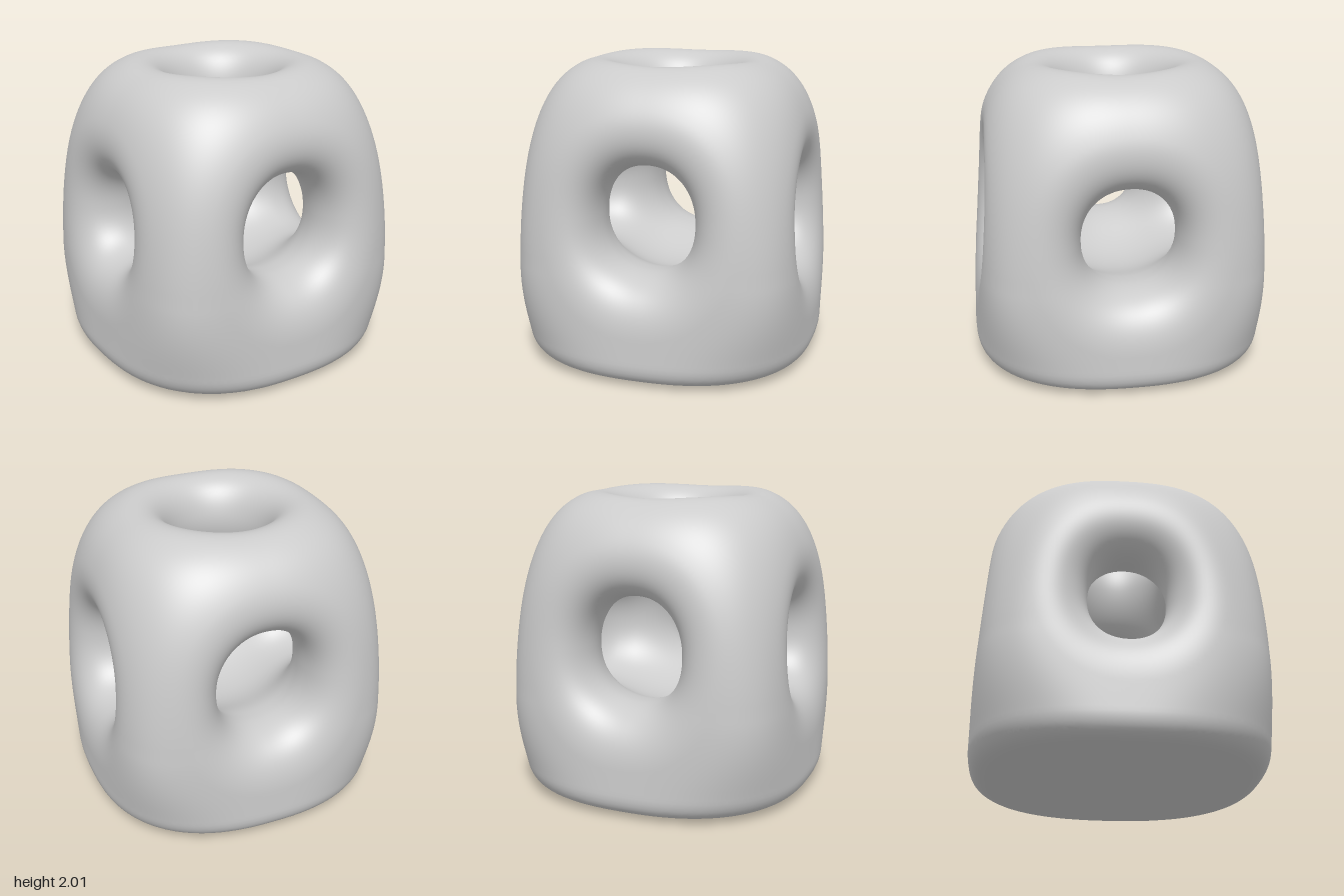
import * as THREE from 'three';

const smoothstep = (a, b, v) => THREE.MathUtils.smoothstep(v, a, b);
const lerp = THREE.MathUtils.lerp;

// Rounded maximum / minimum: blend two solids over a distance k
function smax(a, b, k) {
  const h = Math.max(k - Math.abs(a - b), 0);
  return Math.max(a, b) + (h * h) / (4 * k);
}
const smin = (a, b, k) => -smax(-a, -b, k);

// Superellipse radius: 1 on the outline
const oval = (u, v, n) => Math.pow(Math.pow(Math.abs(u), n) + Math.pow(Math.abs(v), n), 1 / n);

// Tapered cushion block: plan squarest at mid-height, domed top, nearly flat base
function block(x, y, z) {
  const n = 2.5 + 1.7 * smoothstep(0, 0.7, y) - 1.6 * smoothstep(0.8, 1.9, y);
  const w = 0.985 - 0.035 * y;
  const d = (oval(oval(x / w, z / w, n), Math.max(0, (y - 1) / 1.055), 3.7) - 1) * 0.95;
  return smax(d, 0.025 * (x * x + z * z) - y, 0.15);
}

// Tunnels: front to back, side to side (narrower towards -x), and down from the top,
// opening into a rounded hollow where they meet
function tunnels(x, y, z) {
  const frontBack = (oval(x / 0.31, (y - 1.045) / 0.345, 2.2) - 1) * 0.325;
  const t = smoothstep(-0.45, 0.45, x);
  const width = lerp(0.25, 0.305, t), height = lerp(0.28, 0.325, t);
  const side = (oval(z / width, (y - lerp(1.03, 0.975, t)) / height, 2.2) - 1) * width;
  const top = Math.hypot(x, z, Math.min(0, y - 1)) - 0.31;
  return smin(smin(frontBack, side, 0.42), top, 0.3);
}

const field = (x, y, z) => smax(block(x, y, z), -tunnels(x, y, z), 0.35);

function gradient(p, out) {
  const e = 1e-3, [x, y, z] = p;
  return out.set(
    field(x + e, y, z) - field(x - e, y, z),
    field(x, y + e, z) - field(x, y - e, z),
    field(x, y, z + e) - field(x, y, z - e)
  ).divideScalar(2 * e);
}

// Quad mesh of the zero surface: one vertex per crossed cell, one quad per crossed edge
function surfaceGeometry(cells, size, origin) {
  const m = cells + 1, step = size / cells, stride = [1, m, m * m];
  const values = new Float32Array(m * m * m), cellVertex = new Int32Array(m * m * m).fill(-1);
  const positions = [], normals = [], index = [];
  const at = (i, j, k) => i + j * m + k * m * m;
  const each = (count, fn) => {
    for (let k = 0; k < count; k++)
      for (let j = 0; j < count; j++)
        for (let i = 0; i < count; i++) fn(i, j, k);
  };
  each(m, (i, j, k) => {
    values[at(i, j, k)] = field(origin[0] + i * step, origin[1] + j * step, origin[2] + k * step);
  });

  const g = new THREE.Vector3();
  each(cells, (i, j, k) => {
    const base = at(i, j, k), sum = [0, 0, 0];
    let hits = 0;
    for (let c = 0; c < 8; c++) {
      const corner = [c & 1, (c >> 1) & 1, c >> 2];
      const start = base + at(...corner), a = values[start];
      for (let axis = 0; axis < 3; axis++) {
        if (corner[axis]) continue;
        const b = values[start + stride[axis]];
        if (a < 0 === b < 0) continue;
        hits++;
        for (let q = 0; q < 3; q++) sum[q] += corner[q] + (q === axis ? a / (a - b) : 0);
      }
    }
    if (!hits) return;
    const p = [i, j, k].map((v, q) => origin[q] + (v + sum[q] / hits) * step);
    // Pull the vertex exactly onto the surface
    for (let r = 0; r < 3; r++) {
      gradient(p, g);
      const move = THREE.MathUtils.clamp(field(...p) / Math.max(g.lengthSq(), 0.05), -step / 2, step / 2);
      p[0] -= g.x * move; p[1] -= g.y * move; p[2] -= g.z * move;
    }
    gradient(p, g).normalize();
    cellVertex[base] = positions.length / 3;
    positions.push(...p);
    normals.push(g.x, g.y, g.z);
  });

  each(cells, (i, j, k) => {
    if (!i || !j || !k) return;
    const base = at(i, j, k);
    for (let axis = 0; axis < 3; axis++) {
      const inside = values[base] < 0;
      if (inside === values[base + stride[axis]] < 0) continue;
      const b = stride[(axis + 1) % 3], c = stride[(axis + 2) % 3];
      const quad = [base - b - c, base - c, base, base - b].map((cell) => cellVertex[cell]);
      if (!inside) quad.reverse();
      index.push(quad[0], quad[1], quad[2], quad[0], quad[2], quad[3]);
    }
  });

  const geometry = new THREE.BufferGeometry();
  geometry.setAttribute('position', new THREE.Float32BufferAttribute(positions, 3));
  geometry.setAttribute('normal', new THREE.Float32BufferAttribute(normals, 3));
  geometry.setIndex(index);
  return geometry;
}

export function createModel() {
  const group = new THREE.Group();
  group.name = 'hollowBlock';
  const body = new THREE.Mesh(
    surfaceGeometry(76, 2.2, [-1.1, -0.11, -1.1]),
    new THREE.MeshStandardMaterial({ color: 0xcccccc })
  );
  body.name = 'piercedBody';
  group.add(body);
  return group;
}
